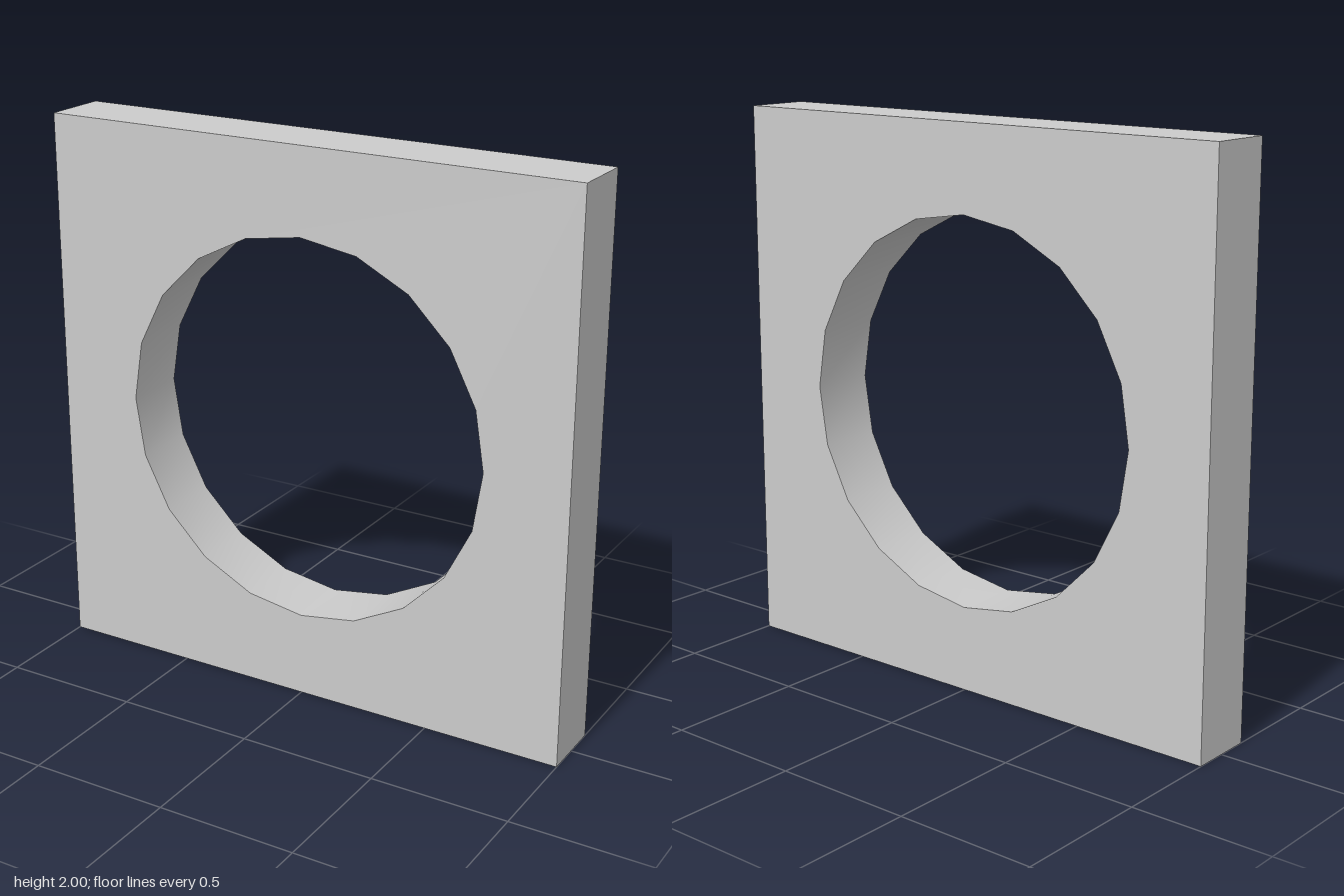
import * as THREE from 'three';
import { toCreasedNormals } from 'three/addons/utils/BufferGeometryUtils.js';

const SIZE = 2, DEPTH = 0.24, HOLE_RADIUS = 0.692, HOLE_SIDES = 20;

export function createModel() {
  const group = new THREE.Group();
  group.name = 'squarePlateWithRoundHole';

  // Square outline, centred on the origin
  const h = SIZE / 2;
  const outline = new THREE.Shape([
    new THREE.Vector2(-h, -h), new THREE.Vector2(h, -h),
    new THREE.Vector2(h, h), new THREE.Vector2(-h, h),
  ]);

  // Twenty-sided round opening
  const rim = Array.from({ length: HOLE_SIDES }, (_, i) => {
    const a = -(i / HOLE_SIDES) * Math.PI * 2;
    return new THREE.Vector2(Math.cos(a) * HOLE_RADIUS, Math.sin(a) * HOLE_RADIUS);
  });
  outline.holes.push(new THREE.Path(rim));

  // Solid plate: smooth inside the opening, sharp at every edge
  const geometry = new THREE.ExtrudeGeometry(outline, { depth: DEPTH, bevelEnabled: false });
  geometry.translate(0, h, -DEPTH / 2);
  const plate = new THREE.Mesh(
    toCreasedNormals(geometry, Math.PI / 6),
    new THREE.MeshStandardMaterial({ color: 0xcccccc }),
  );
  plate.name = 'plate';
  group.add(plate);
  return group;
}
